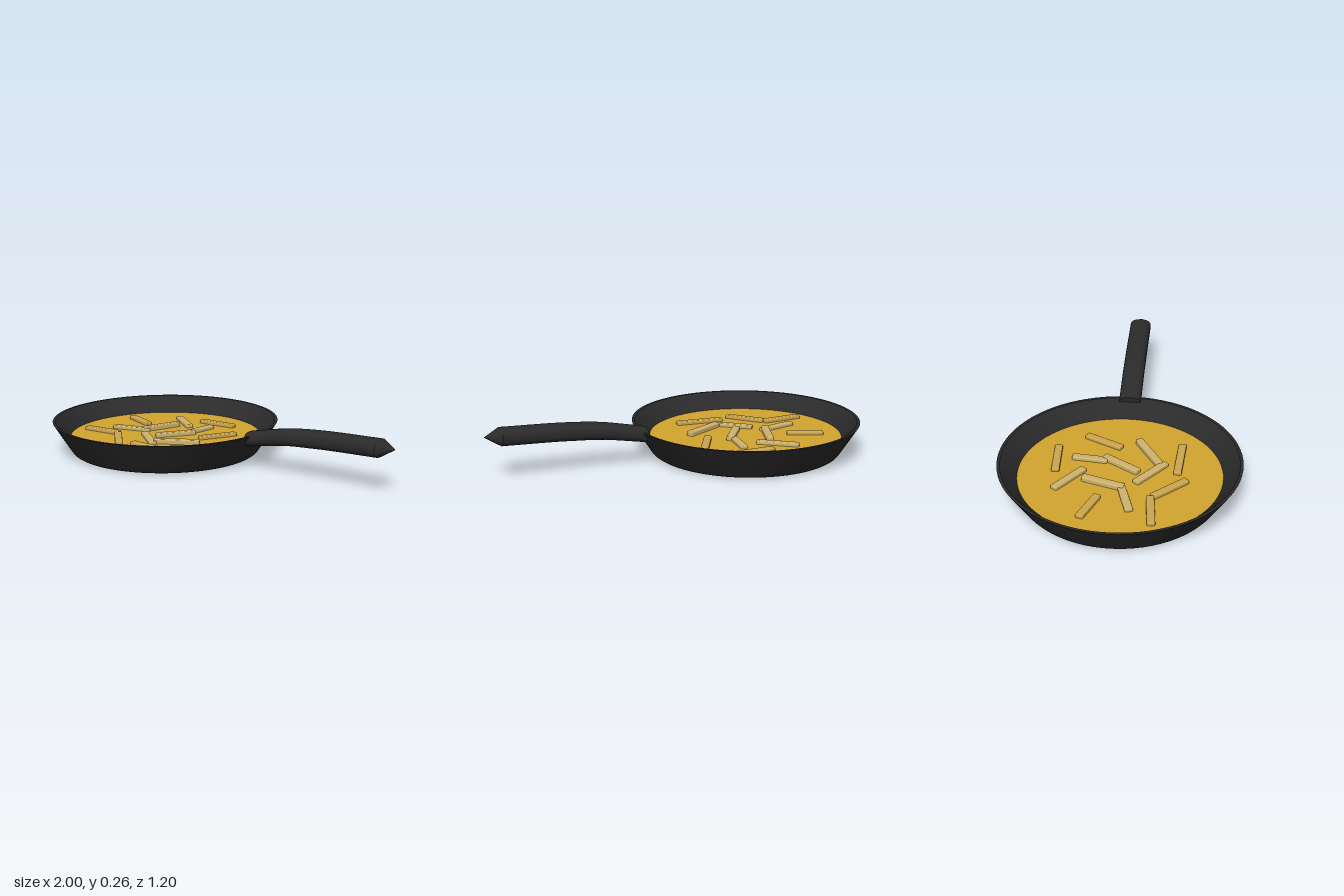
import * as THREE from 'three';
import { RoundedBoxGeometry } from 'three/addons/geometries/RoundedBoxGeometry.js';

const mat = (name, color) => {
  const m = new THREE.MeshStandardMaterial({ color });
  m.name = name;
  return m;
};

// Handle: squarish oval sections swept along a curve, closed by a point at the end
function handleGeometry() {
  const curve = new THREE.CatmullRomCurve3([
    [0.17, 0.147], [0.29, 0.17], [0.4, 0.189], [0.6, 0.205], [0.92, 0.216],
  ].map(([x, y]) => new THREE.Vector3(x, y, 0)));
  const sides = 24, steps = 24, pos = [], index = [];
  const ring = (c, t, h, w) => {
    for (let j = 0; j <= sides; j++) {
      const a = (j / sides) * Math.PI * 2;
      const bulge = (v) => Math.sign(v) * Math.pow(Math.abs(v), 0.75);
      const up = bulge(Math.sin(a)) * h;
      pos.push(c.x - t.y * up, c.y + t.x * up, bulge(Math.cos(a)) * w);
    }
  };
  const link = (a, b) => {
    for (let j = 0; j < sides; j++) {
      index.push(a + j, a + j + 1, b + j, b + j, a + j + 1, b + j + 1);
    }
  };
  const n = sides + 1;
  for (let i = 0; i <= steps; i++) {
    const u = i / steps;
    ring(curve.getPointAt(u), curve.getTangentAt(u), 0.038 + 0.006 * Math.min(1, u * 2), 0.058);
    if (i) link((i - 1) * n, i * n);
  }
  // pointed end, with its own vertices for a crisp edge
  const end = curve.getPointAt(1), tangent = curve.getTangentAt(1);
  const b = (steps + 1) * n;
  ring(end, tangent, 0.044, 0.058);
  ring(new THREE.Vector3(1, 0.22, 0), tangent, 0.0005, 0.0005);
  link(b, b + n);
  // flat cap at the pan end
  const c = b + 2 * n;
  ring(curve.getPointAt(0), curve.getTangentAt(0), 0.038, 0.058);
  for (let j = 1; j < sides - 1; j++) index.push(c, c + j + 1, c + j);

  const g = new THREE.BufferGeometry();
  g.setAttribute('position', new THREE.Float32BufferAttribute(pos, 3));
  g.setIndex(index);
  g.computeVertexNormals();
  return g;
}

export function createModel() {
  const group = new THREE.Group();
  const iron = mat('black iron', 0x2b2b2b);
  iron.side = THREE.DoubleSide;
  const oilMat = mat('golden oil', 0xd2a62d);
  const tan = mat('golden potato', 0xcda650);
  const pale = mat('pale potato', 0xd0b46e);
  const add = (name, geometry, material, parent = group) => {
    const m = new THREE.Mesh(geometry, material);
    m.name = name;
    parent.add(m);
    return m;
  };

  // Pan, split where its edges are crisp
  const pan = new THREE.Group();
  pan.name = 'pan';
  pan.position.x = -0.4;
  group.add(pan);
  const lathe = (name, pts) => add(name,
    new THREE.LatheGeometry(pts.map(([x, y]) => new THREE.Vector2(x, y)), 80), iron, pan);
  lathe('panBase', [[0, 0], [0.47, 0]]);
  lathe('panOuterWall', [[0.47, 0], [0.485, 0.002], [0.496, 0.009], [0.506, 0.021], [0.553, 0.095], [0.6, 0.17]]);
  lathe('panRim', [[0.6, 0.17], [0.585, 0.17]]);
  lathe('panInnerWall', [[0.585, 0.17], [0.506, 0.086], [0.49, 0.06]]);

  const oil = add('oil', new THREE.CircleGeometry(0.507, 80), oilMat, pan);
  oil.rotation.x = -Math.PI / 2;
  oil.position.y = 0.086;

  add('handle', handleGeometry(), iron);

  // Fries: both ends on the oil surface (x1, z1, x2, z2), height offset, pale or not
  const fries = [
    [-0.56, -0.31, -0.38, -0.18, 0, 1], [-0.41, -0.32, -0.19, -0.33, 0, 0],
    [-0.28, -0.25, -0.30, -0.07, 0, 1], [-0.08, -0.20, -0.18, -0.01, 0, 0],
    [-0.78, -0.16, -0.60, -0.09, 0, 0], [-0.46, -0.18, -0.53, 0.03, 0.006, 1],
    [-0.27, -0.09, -0.39, 0.09, 0.004, 1], [-0.71, 0.07, -0.50, 0.01, 0, 1],
    [-0.81, 0.18, -0.59, 0.16, 0, 0], [-0.59, 0.17, -0.44, 0.33, 0, 0],
    [-0.48, 0.08, -0.30, 0.22, 0, 1], [-0.32, 0.19, -0.11, 0.07, 0.006, 1],
    [-0.39, 0.28, -0.13, 0.295, 0, 0],
  ];
  for (const [x1, z1, x2, z2, lift, light] of fries) {
    const length = Math.hypot(x2 - x1, z2 - z1);
    const fry = add('fry', new RoundedBoxGeometry(length, 0.036, 0.04, 2, 0.007), light ? pale : tan);
    fry.position.set((x1 + x2) / 2, 0.086 + lift, (z1 + z2) / 2);
    fry.rotation.y = Math.atan2(z1 - z2, x2 - x1);
  }
  return group;
}
